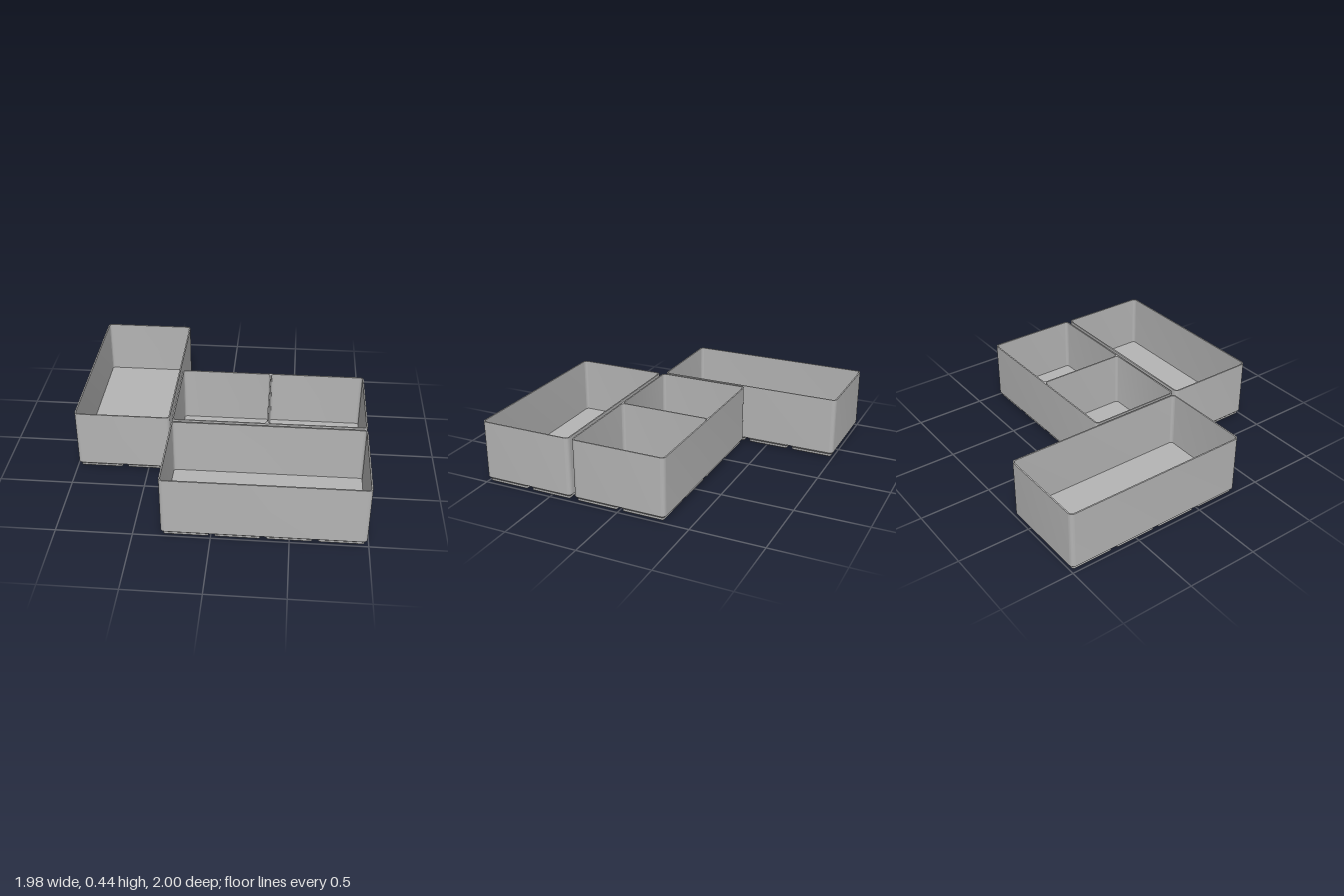
import * as THREE from 'three';
import { toCreasedNormals } from 'three/addons/utils/BufferGeometryUtils.js';

const PITCH = 0.329, CLEAR = 0.002, RADIUS = 0.0294;
const WALL = 0.0094, FOOT_H = 0.037, FLOOR_Y = 0.047, TOP_Y = 0.44;

// Counter-clockwise outline of a rounded rectangle centred on (cx, cy)
function roundedRect(w, d, r, cx = 0, cy = 0, steps = 8) {
  const points = [];
  [[1, 1], [-1, 1], [-1, -1], [1, -1]].forEach(([sx, sy], corner) => {
    for (let i = 0; i <= steps; i++) {
      const a = (corner + i / steps) * Math.PI / 2;
      points.push(new THREE.Vector2(
        cx + sx * (w / 2 - r) + r * Math.cos(a),
        cy + sy * (d / 2 - r) + r * Math.sin(a)));
    }
  });
  return points;
}

// Upright prism from an outline with optional holes
function prism(outline, holes, y0, y1) {
  const shape = new THREE.Shape(outline);
  holes.forEach((h) => shape.holes.push(new THREE.Path(h)));
  const geo = new THREE.ExtrudeGeometry(shape, { depth: y1 - y0, bevelEnabled: false });
  geo.rotateX(-Math.PI / 2).translate(0, y0, 0);
  return toCreasedNormals(geo, 0.5);
}

// Stepped, chamfered foot lofted through rounded-square sections [y, inset]
function footGeometry() {
  const levels = [[0, 0.0231], [0.0063, 0.0169], [0.0204, 0.0169], [FOOT_H, 0]];
  const size = PITCH - 2 * CLEAR;
  const position = [], index = [];
  let n = 0;
  for (const [y, inset] of levels) {
    const ring = roundedRect(size - 2 * inset, size - 2 * inset, RADIUS - inset);
    n = ring.length;
    ring.forEach((p) => position.push(p.x, y, -p.y));
  }
  for (let k = 0; k < levels.length - 1; k++) {
    for (let i = 0; i < n; i++) {
      const j = (i + 1) % n, a = k * n + i, b = k * n + j;
      index.push(a, b, b + n, a, b + n, a + n);
    }
  }
  // Underside
  const centre = position.length / 3;
  position.push(0, 0, 0);
  for (let i = 0; i < n; i++) index.push(centre, (i + 1) % n, i);
  const geo = new THREE.BufferGeometry();
  geo.setAttribute('position', new THREE.Float32BufferAttribute(position, 3));
  geo.setIndex(index);
  return toCreasedNormals(geo.toNonIndexed(), 0.5);
}

export function createModel() {
  const model = new THREE.Group();
  model.name = 'storageBins';
  const grey = new THREE.MeshStandardMaterial({ color: 0xb4b4b4 });
  grey.name = 'grey plastic';
  const foot = footGeometry();

  function addPart(parent, name, geo) {
    const mesh = new THREE.Mesh(geo, grey);
    mesh.name = name;
    parent.add(mesh);
    return mesh;
  }

  // One open bin: nx by nz feet, optionally divided at local x positions
  function addBin(name, nx, nz, x, z, dividers = []) {
    const bin = new THREE.Group();
    bin.name = name;
    bin.position.set(x, 0, z);
    const w = nx * PITCH - 2 * CLEAR, d = nz * PITCH - 2 * CLEAR;
    const outline = roundedRect(w, d, RADIUS);

    // Compartments between the side walls and dividers
    const stops = [-w / 2 + WALL / 2, ...dividers, w / 2 - WALL / 2];
    const holes = stops.slice(1).map((right, i) => {
      const left = stops[i];
      return roundedRect(right - left - WALL, d - 2 * WALL, RADIUS - WALL, (left + right) / 2);
    });
    addPart(bin, 'floor', prism(outline, [], FOOT_H, FLOOR_Y));
    addPart(bin, 'walls', prism(outline, holes, FLOOR_Y, TOP_Y));

    for (let i = 0; i < nx; i++) {
      for (let j = 0; j < nz; j++) {
        addPart(bin, 'foot', foot).position.set(
          (i - (nx - 1) / 2) * PITCH, 0, (j - (nz - 1) / 2) * PITCH);
      }
    }
    model.add(bin);
  }

  addBin('sideBin', 2, 4, -0.665, -0.344);
  addBin('dividedBin', 4, 2, 0.335, -0.003, [-0.013]);
  addBin('frontBin', 4, 2, 0.335, 0.673);
  return model;
}
